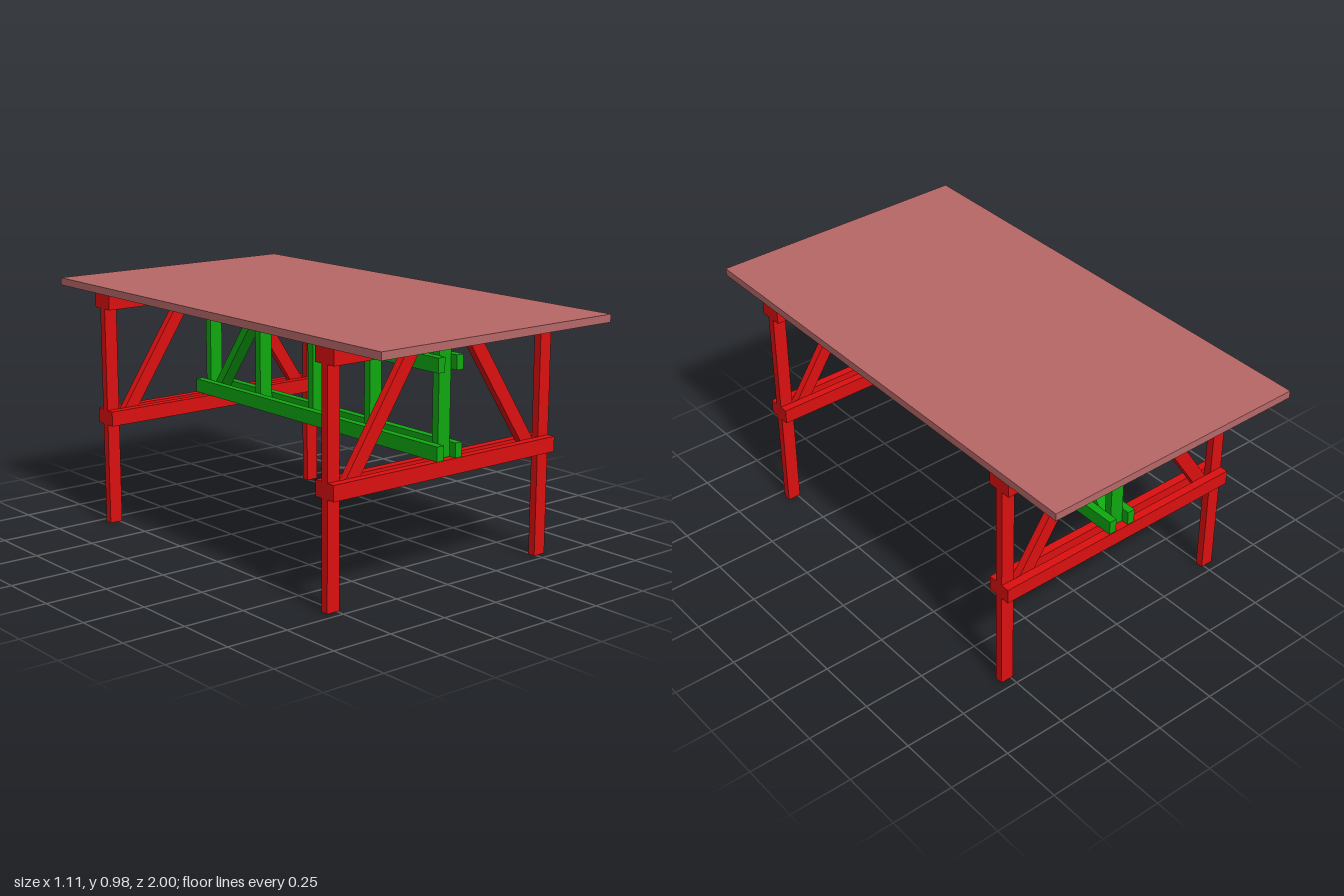
import * as THREE from 'three';

const red = new THREE.MeshStandardMaterial({ color: 0xdd0f0f });
const green = new THREE.MeshStandardMaterial({ color: 0x10a810 });
const rose = new THREE.MeshStandardMaterial({ color: 0xb86868 });

// Box given by its min and max on each axis
function bar(parent, name, mat, [x0, x1], [y0, y1], [z0, z1]) {
  const mesh = new THREE.Mesh(new THREE.BoxGeometry(x1 - x0, y1 - y0, z1 - z0), mat);
  mesh.position.set((x0 + x1) / 2, (y0 + y1) / 2, (z0 + z1) / 2);
  mesh.name = name;
  parent.add(mesh);
}

// Slanted bar with level-cut ends, extruded about its own centre plane
function brace(name, mat, [u0, v0], [u1, v1], width, thick) {
  const h = width / 2;
  const shape = new THREE.Shape([[u0 - h, v0], [u0 + h, v0], [u1 + h, v1], [u1 - h, v1]]
    .map(([u, v]) => new THREE.Vector2(u, v)));
  const geo = new THREE.ExtrudeGeometry(shape, { depth: thick, bevelEnabled: false });
  geo.translate(0, 0, -thick / 2);
  const mesh = new THREE.Mesh(geo, mat);
  mesh.name = name;
  return mesh;
}

export function createModel() {
  const table = new THREE.Group();
  table.name = 'trestleTable';
  bar(table, 'tableTop', rose, [-0.553, 0.553], [0.95, 0.98], [-1, 1]);

  // End frames: legs and braces clamped between paired rails
  for (const end of [-1, 1]) {
    const frame = new THREE.Group();
    frame.name = end > 0 ? 'frontFrame' : 'backFrame';
    frame.position.z = end * 0.7;
    for (const s of [-1, 1]) {
      const cx = s * 0.5175;
      bar(frame, 'leg', red, [cx - 0.0275, cx + 0.0275], [0, 0.95], [-0.016, 0.016]);
      const cz = s * 0.033;
      bar(frame, 'upperRail', red, [-0.545, 0.545], [0.89, 0.95], [cz - 0.017, cz + 0.017]);
      bar(frame, 'lowerRail', red, [-0.545, 0.545], [0.415, 0.475], [cz - 0.017, cz + 0.017]);
      frame.add(brace('frameBrace', red, [s * 0.467, 0.416], [s * 0.113, 0.949], 0.066, 0.031));
    }
    bar(frame, 'centrePost', green, [-0.029, 0.029], [0.416, 0.949], [-0.016, 0.016]);
    table.add(frame);
  }

  // Lengthwise stretcher: paired beams with uprights between them
  const stretcher = new THREE.Group();
  stretcher.name = 'stretcher';
  for (const s of [-1, 1]) {
    const cx = s * 0.045;
    for (const y of [0.475, 0.8])
      bar(stretcher, 'stretcherBeam', green, [cx - 0.016, cx + 0.016], [y, y + 0.056], [-0.747, 0.747]);
  }
  for (const z of [0.323, -0.017, -0.357])
    bar(stretcher, 'upright', green, [-0.029, 0.029], [0.476, 0.855], [z - 0.016, z + 0.016]);

  // Single diagonal at the back, turned so its slope runs along z
  const diagonal = brace('stretcherBrace', green, [0.67, 0.476], [0.39, 0.855], 0.042, 0.058);
  diagonal.rotation.y = Math.PI / 2;
  stretcher.add(diagonal);
  table.add(stretcher);
  return table;
}
